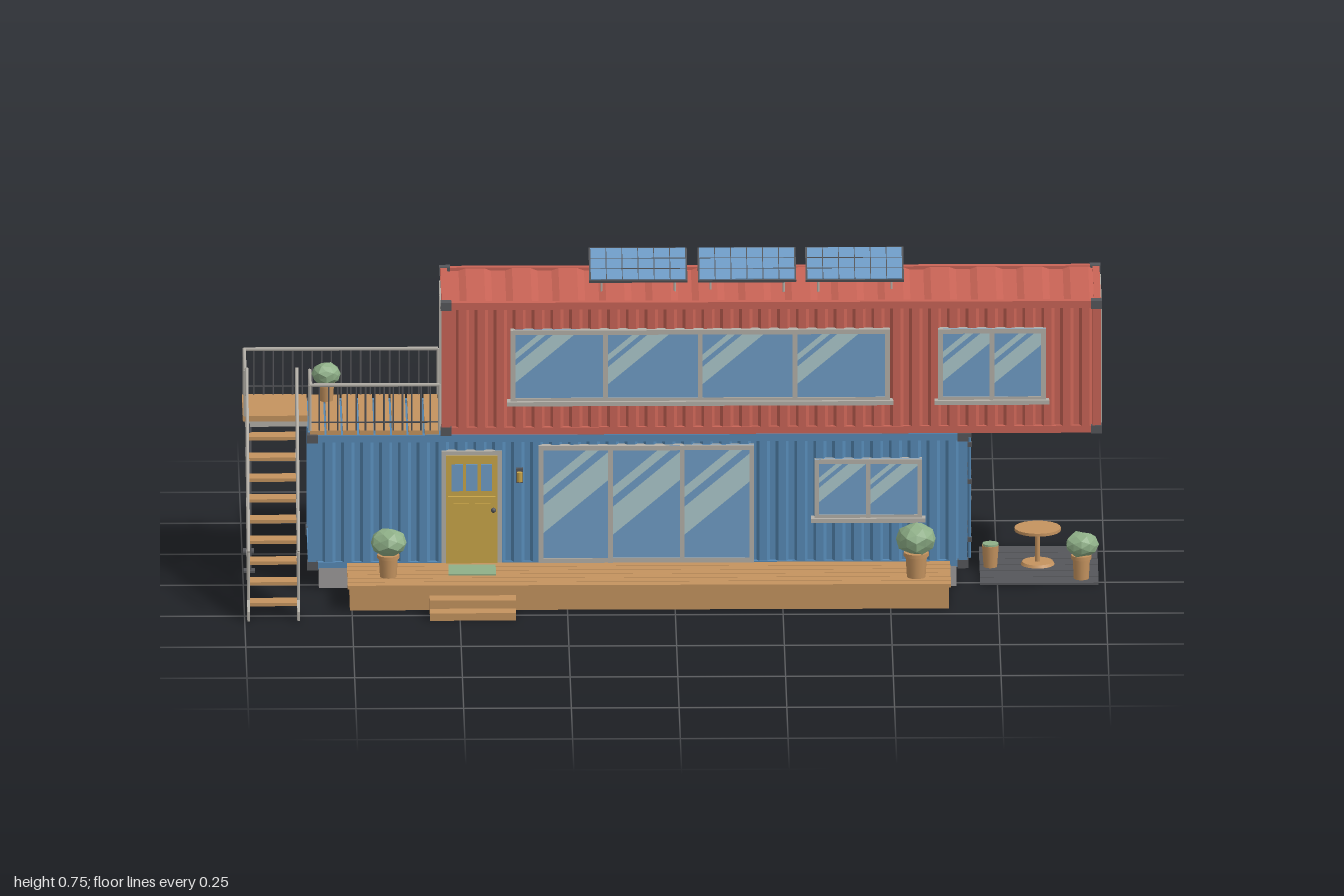
import * as THREE from 'three';

const mat = (name, color) => Object.assign(new THREE.MeshStandardMaterial({ color }), { name });
const M = {
  red: mat('red paint', 0xc96456), blue: mat('blue paint', 0x5689b5), glass: mat('glass', 0x6f9cc6),
  shine: mat('glass shine', 0xacc8cc), wood: mat('wood', 0xc4935f), trim: mat('light metal', 0xb4b0a8),
  dark: mat('dark metal', 0x55565a), gold: mat('yellow paint', 0xc9a548), green: mat('foliage', 0x8fb088),
  stone: mat('concrete', 0x9c9a9a),
};
const V = (x, y, z) => new THREE.Vector3(x, y, z);
const ZF = 0.028, ZB = -0.277, ZC = (ZF + ZB) / 2;

function add(parent, name, geo, material, x = 0, y = 0, z = 0) {
  const m = new THREE.Mesh(geo, material);
  m.name = name;
  m.position.set(x, y, z);
  parent.add(m);
  return m;
}
function group(parent, name, x = 0, y = 0, z = 0, ry = 0) {
  const g = new THREE.Group();
  g.name = name;
  g.position.set(x, y, z);
  g.rotation.y = ry;
  parent.add(g);
  return g;
}
// box given by its min and max on each axis
const slab = (p, name, m, x0, x1, y0, y1, z0, z1) =>
  add(p, name, new THREE.BoxGeometry(x1 - x0, y1 - y0, z1 - z0), m, (x0 + x1) / 2, (y0 + y1) / 2, (z0 + z1) / 2);

function bar(p, name, a, b, r, m) {
  const o = add(p, name, new THREE.CylinderGeometry(r, r, a.distanceTo(b), 6), m);
  o.position.copy(a).lerp(b, 0.5);
  o.quaternion.setFromUnitVectors(V(0, 1, 0), b.clone().sub(a).normalize());
}

// corrugated sheet, centred on x, rising from y = 0, outside facing +z
function sheet(w, h, n, d = 0.009) {
  const s = new THREE.Shape(), step = w / n;
  s.moveTo(-w / 2, 0.006);
  for (let i = 0; i < n; i++) {
    const x = -w / 2 + i * step;
    [[0, 0], [0.3, 0], [0.45, -d], [0.85, -d]].forEach(([f, y]) => s.lineTo(x + f * step, y));
  }
  s.lineTo(w / 2, 0);
  s.lineTo(w / 2, 0.006);
  return new THREE.ExtrudeGeometry(s, { depth: h, bevelEnabled: false }).rotateX(-Math.PI / 2);
}

function container(root, name, m, x0, x1, y0, y1) {
  const g = group(root, name), cx = (x0 + x1) / 2, L = x1 - x0, W = ZF - ZB, H = y1 - y0, t = 0.02, r = 0.012;
  [[cx, ZF - r, 0, L, 34], [cx, ZB + r, Math.PI, L, 34], [x1 - r, ZC, Math.PI / 2, W, 7], [x0 + r, ZC, -Math.PI / 2, W, 7]]
    .forEach(([x, z, ry, w, n]) => {
      add(g, 'corrugatedWall', sheet(w - 2 * t, H - t, n), m, x, y0 + t / 2, z).rotation.y = ry;
    });
  add(g, 'roofSheet', sheet(L - t, W - t, 14, 0.006), m, cx, y1 - 0.008, ZF - t / 2).rotation.x = -Math.PI / 2;
  slab(g, 'floor', m, x0 + 0.01, x1 - 0.01, y0 + 0.004, y0 + 0.012, ZB + 0.01, ZF - 0.01);
  for (const z of [ZF - t / 2, ZB + t / 2]) {
    for (const x of [x0 + t / 2, x1 - t / 2]) {
      add(g, 'cornerPost', new THREE.BoxGeometry(t, H, t), m, x, y0 + H / 2, z);
      for (const y of [y0 + 0.009, y1 - 0.009]) {
        add(g, 'cornerCasting', new THREE.BoxGeometry(0.025, 0.02, 0.023), M.dark, x, y, z);
      }
    }
    for (const y of [y0 + 0.009, y1 - 0.009]) add(g, 'sideRail', new THREE.BoxGeometry(L, 0.017, 0.016), m, cx, y, z);
  }
  for (const x of [x0 + 0.008, x1 - 0.008]) for (const y of [y0 + 0.009, y1 - 0.009]) {
    add(g, 'endRail', new THREE.BoxGeometry(0.016, 0.017, W), m, x, y, ZC);
  }
}

// part of a w x h pane lying between two slanted lines
function streak(w, h, c1, c2) {
  const clip = (pts, f) => pts.flatMap((p, i) => {
    const q = pts[(i + 1) % pts.length], a = f(p), b = f(q), out = a >= 0 ? [p] : [];
    if (a * b < 0) out.push(p.clone().lerp(q, a / (a - b)));
    return out;
  });
  const rect = [[0, 0], [w, 0], [w, h], [0, h]].map(([x, y]) => new THREE.Vector2(x, y));
  const d = (p) => p.y - 0.85 * p.x;
  return new THREE.ShapeGeometry(new THREE.Shape(clip(clip(rect, (p) => d(p) - c1), (p) => c2 - d(p))));
}
function pane(g, x, y, w, h, z) {
  add(g, 'glassPane', new THREE.BoxGeometry(w, h, 0.004), M.glass, x + w / 2, y + h / 2, z);
  for (const [a, b] of [[0.22, 0.46], [0.54, 0.63]]) {
    add(g, 'glassShine', streak(w, h, a * h, b * h), M.shine, x, y, z + 0.003);
  }
}
// framed window whose centre bottom is the origin; rows lists the heights of cross bars
function windowUnit(root, name, x, y, z, ry, w, h, cols, { rows = [], sill = true } = {}) {
  const g = group(root, name, x, y, z, ry), t = 0.011;
  const ys = [0, ...rows, h], cw = w / cols;
  for (let i = 0; i <= cols; i++) {
    const px = -w / 2 + i * cw, e = i === 0 ? t / 2 : i === cols ? -t / 2 : 0;
    slab(g, 'mullion', M.trim, px + e - t / 2, px + e + t / 2, 0, h, -0.01, 0.008);
    if (i < cols) for (let j = 0; j + 1 < ys.length; j++) pane(g, px, ys[j], cw, ys[j + 1] - ys[j], 0.002);
  }
  ys.forEach((v, j) => {
    const c = j === 0 ? t / 2 : j === ys.length - 1 ? h - t / 2 : v;
    slab(g, 'crossBar', M.trim, -w / 2, w / 2, c - t / 2, c + t / 2, -0.01, 0.0075);
  });
  if (sill) slab(g, 'sill', M.trim, -w / 2 - 0.008, w / 2 + 0.008, -0.006, 0.004, -0.01, 0.016);
}

// handrail with balusters between two floor points
function railing(root, a, b, n, h = 0.11) {
  const g = group(root, 'railing'), up = (p, k) => p.clone().add(V(0, k, 0));
  bar(g, 'handrail', up(a, h), up(b, h), 0.0045, M.trim);
  bar(g, 'lowerRail', up(a, 0.02), up(b, 0.02), 0.002, M.dark);
  for (let i = 0; i <= n; i++) {
    const p = a.clone().lerp(b, i / n), end = i === 0 || i === n;
    bar(g, end ? 'railPost' : 'baluster', p, up(p, h), end ? 0.004 : 0.0022, end ? M.trim : M.dark);
  }
}

function plant(root, x, y, z, s, potH, seed) {
  const g = group(root, 'pottedPlant', x, y, z);
  add(g, 'pot', new THREE.CylinderGeometry(s * 0.54, s * 0.46, potH, 16), M.wood, 0, potH / 2);
  add(g, 'potRim', new THREE.CylinderGeometry(s * 0.62, s * 0.62, potH * 0.16, 16), M.wood, 0, potH * 0.95);
  const geo = new THREE.IcosahedronGeometry(s, 1), p = geo.attributes.position;
  for (let i = 0; i < p.count; i++) {
    const v = V().fromBufferAttribute(p, i);
    const k = 1 + 0.09 * Math.sin(v.x / s * 5 + seed) * Math.cos(v.z / s * 4 + seed * 2 + v.y / s * 3);
    p.setXYZ(i, v.x * k, v.y * k * 0.78, v.z * k);
  }
  geo.computeVertexNormals();
  add(g, 'foliage', geo, M.green, 0, potH + s * 0.72);
}

export function createModel() {
  const root = new THREE.Group();
  root.name = 'containerHouse';
  container(root, 'lowerContainer', M.blue, -0.85, 0.68, 0.045, 0.37);
  container(root, 'upperContainer', M.red, -0.54, 0.99, 0.37, 0.69);
  for (const x of [-0.79, -0.37, 0.04, 0.62]) for (const z of [-0.008, -0.245]) {
    slab(root, 'foundationBlock', M.stone, x - 0.035, x + 0.035, 0, 0.049, z - 0.035, z + 0.035);
  }

  // windows: front, back, ends
  const B = Math.PI, E = Math.PI / 2;
  windowUnit(root, 'upperFrontWindow', 0.06, 0.45, ZF, 0, 0.88, 0.175, 4);
  windowUnit(root, 'upperSmallWindow', 0.737, 0.45, ZF, 0, 0.25, 0.175, 2);
  windowUnit(root, 'slidingDoors', -0.065, 0.062, ZF, 0, 0.5, 0.283, 3, { sill: false });
  windowUnit(root, 'lowerFrontWindow', 0.45, 0.165, ZF, 0, 0.25, 0.145, 2);
  windowUnit(root, 'upperBackWindow', 0.52, 0.45, ZB, B, 0.51, 0.175, 3);
  windowUnit(root, 'upperBackSmallWindow', -0.26, 0.45, ZB, B, 0.3, 0.175, 2);
  windowUnit(root, 'lowerBackWindow', 0.23, 0.16, ZB, B, 0.33, 0.17, 2);
  windowUnit(root, 'lowerBackSmallWindow', -0.47, 0.16, ZB, B, 0.25, 0.17, 2);
  windowUnit(root, 'endWindow', 0.985, 0.388, ZC, E, 0.252, 0.284, 2, { rows: [0.098], sill: false });
  windowUnit(root, 'balconyDoors', -0.535, 0.388, ZC, -E, 0.24, 0.275, 2, { sill: false });

  // front door and lamp
  const door = group(root, 'frontDoor', -0.47, 0.062, ZF);
  slab(door, 'doorFrame', M.trim, -0.07, 0.07, 0, 0.27, -0.01, 0.004);
  slab(door, 'doorLeaf', M.gold, -0.06, 0.06, 0, 0.26, -0.01, 0.008);
  for (const x of [-0.034, 0, 0.034]) slab(door, 'doorLight', M.glass, x - 0.013, x + 0.013, 0.175, 0.24, 0.004, 0.0095);
  for (const x of [-0.025, 0.025]) slab(door, 'doorPanel', M.gold, x - 0.018, x + 0.018, 0.025, 0.145, 0.004, 0.012);
  slab(door, 'doorLedge', M.gold, -0.055, 0.055, 0.155, 0.163, 0.004, 0.016);
  add(door, 'doorKnob', new THREE.SphereGeometry(0.006, 10, 8), M.dark, 0.05, 0.13, 0.014);
  slab(root, 'lampMount', M.dark, -0.367, -0.351, 0.255, 0.29, 0.018, 0.034);
  add(root, 'lamp', new THREE.CylinderGeometry(0.007, 0.007, 0.022, 10), M.gold, -0.359, 0.272, 0.04);

  // cargo doors with lock rods on the lower end
  const cargo = group(root, 'cargoDoors', 0.68, 0, ZC, E);
  for (const s of [-1, 1]) {
    slab(cargo, 'doorStile', M.blue, s * 0.004 - 0.003, s * 0.004 + 0.003, 0.06, 0.355, -0.008, 0.002);
    for (const y of [0.07, 0.342]) slab(cargo, 'doorCrossbar', M.blue, s * 0.069 - 0.065, s * 0.069 + 0.065, y - 0.012, y + 0.012, -0.01, 0.001);
    for (const x of [0.032, 0.104]) {
      bar(cargo, 'lockRod', V(s * x, 0.055, 0.006), V(s * x, 0.345, 0.006), 0.0035, M.blue);
      for (const y of [0.1, 0.24, 0.33]) add(cargo, 'rodClamp', new THREE.BoxGeometry(0.011, 0.011, 0.012), M.dark, s * x, y, 0.005);
      bar(cargo, 'lockHandle', V(s * x, 0.195, 0.009), V(s * (x - 0.028), 0.195, 0.009), 0.0025, M.dark);
    }
  }

  // front deck, step and mat
  const deck = group(root, 'frontDeck');
  slab(deck, 'deckBase', M.wood, -0.755, 0.635, 0, 0.052, 0.032, 0.207);
  for (let i = 0; i < 6; i++) slab(deck, 'deckPlank', M.wood, -0.76, 0.64, 0.053, 0.062, 0.032 + i * 0.031, 0.06 + i * 0.031);
  slab(deck, 'upperStep', M.wood, -0.57, -0.37, 0, 0.038, 0.215, 0.256);
  slab(deck, 'lowerStep', M.wood, -0.57, -0.37, 0, 0.018, 0.256, 0.293);
  slab(deck, 'doorMat', M.green, -0.525, -0.415, 0.062, 0.066, 0.06, 0.135);

  // balcony and stair landing
  const balcony = group(root, 'balcony');
  for (let i = 0; i < 8; i++) slab(balcony, 'balconyPlank', M.wood, -0.845 + i * 0.038, -0.812 + i * 0.038, 0.366, 0.38, -0.272, 0.022);
  slab(balcony, 'landing', M.wood, -1, -0.85, 0.366, 0.38, -0.277, -0.1);
  slab(balcony, 'landingBeam', M.trim, -0.995, -0.85, 0.352, 0.366, -0.272, -0.105);
  for (const z of [-0.268, -0.11]) {
    bar(balcony, 'landingPost', V(-0.985, 0, z), V(-0.985, 0.36, z), 0.006, M.dark);
    slab(balcony, 'postFoot', M.dark, -0.998, -0.972, 0, 0.005, z - 0.013, z + 0.013);
  }
  const y = 0.38;
  railing(balcony, V(-0.845, y, 0.02), V(-0.545, y, 0.02), 14);
  railing(balcony, V(-0.995, y, -0.272), V(-0.545, y, -0.272), 20);
  railing(balcony, V(-0.995, y, -0.272), V(-0.995, y, -0.1), 8);
  railing(balcony, V(-0.845, y, -0.1), V(-0.845, y, 0.02), 6);

  // stairs
  const stairs = group(root, 'stairs');
  const side = new THREE.Shape([[0.25, 0], [0.292, 0], [0.292, 0.022], [-0.1, 0.372], [-0.1, 0.325]].map(([a, b]) => new THREE.Vector2(a, b)));
  const sideGeo = new THREE.ExtrudeGeometry(side, { depth: 0.006, bevelEnabled: false }).rotateY(-Math.PI / 2);
  for (const x of [-0.988, -0.872]) {
    add(stairs, 'stringer', sideGeo, M.trim, x);
    railing(stairs, V(x - 0.003, 0.045, 0.268), V(x - 0.003, y, -0.1), 13, 0.115);
  }
  for (let i = 1; i < 10; i++) {
    const z = 0.29 - i * 0.0425;
    slab(stairs, 'tread', M.wood, -0.988, -0.878, i * 0.0375 - 0.008, i * 0.0375, z - 0.02, z + 0.022);
  }

  // solar panels on the roof
  for (const x of [-0.0825, 0.17, 0.42]) {
    const g = group(root, 'solarPanel', x, 0.731, -0.137);
    g.rotation.x = 0.235;
    add(g, 'panelFrame', new THREE.BoxGeometry(0.228, 0.006, 0.152), M.dark);
    add(g, 'panelCells', new THREE.BoxGeometry(0.22, 0.003, 0.144), M.glass, 0, 0.003);
    for (let i = -2; i <= 2; i++) add(g, 'cellLine', new THREE.BoxGeometry(0.002, 0.002, 0.144), M.dark, i * 0.037, 0.0042);
    for (const z of [-0.024, 0.024]) add(g, 'cellLine', new THREE.BoxGeometry(0.22, 0.002, 0.002), M.dark, 0, 0.0042, z);
    for (const dx of [-0.085, 0.085]) {
      bar(root, 'panelLeg', V(x + dx, 0.68, -0.083), V(x + dx, 0.716, -0.083), 0.003, M.trim);
      bar(root, 'panelLeg', V(x + dx, 0.68, -0.193), V(x + dx, 0.742, -0.193), 0.003, M.trim);
    }
  }

  // patio with table and stools
  for (let i = 0; i < 6; i++) slab(root, 'patioPlank', M.dark, 0.71, 0.985, 0, 0.005, -0.277 + i * 0.05, -0.23 + i * 0.05);
  const table = group(root, 'table', 0.845, 0, -0.135);
  add(table, 'tableTop', new THREE.CylinderGeometry(0.054, 0.054, 0.007, 20), M.wood, 0, 0.09);
  add(table, 'tableLeg', new THREE.CylinderGeometry(0.006, 0.006, 0.085, 10), M.wood, 0, 0.046);
  add(table, 'tableFoot', new THREE.CylinderGeometry(0.036, 0.04, 0.007, 20), M.wood, 0, 0.008);
  for (const [x, z] of [[0.735, -0.115], [0.945, -0.18]]) {
    add(root, 'stool', new THREE.CylinderGeometry(0.02, 0.016, 0.052, 14), M.wood, x, 0.031, z);
    add(root, 'stoolCushion', new THREE.CylinderGeometry(0.019, 0.019, 0.005, 14), M.green, x, 0.059, z);
  }

  plant(root, -0.665, 0.062, 0.14, 0.042, 0.052, 1);
  plant(root, 0.56, 0.062, 0.155, 0.047, 0.058, 2);
  plant(root, 0.945, 0.005, -0.017, 0.038, 0.055, 3);
  plant(root, -0.805, 0.38, -0.225, 0.034, 0.04, 4);
  return root;
}
